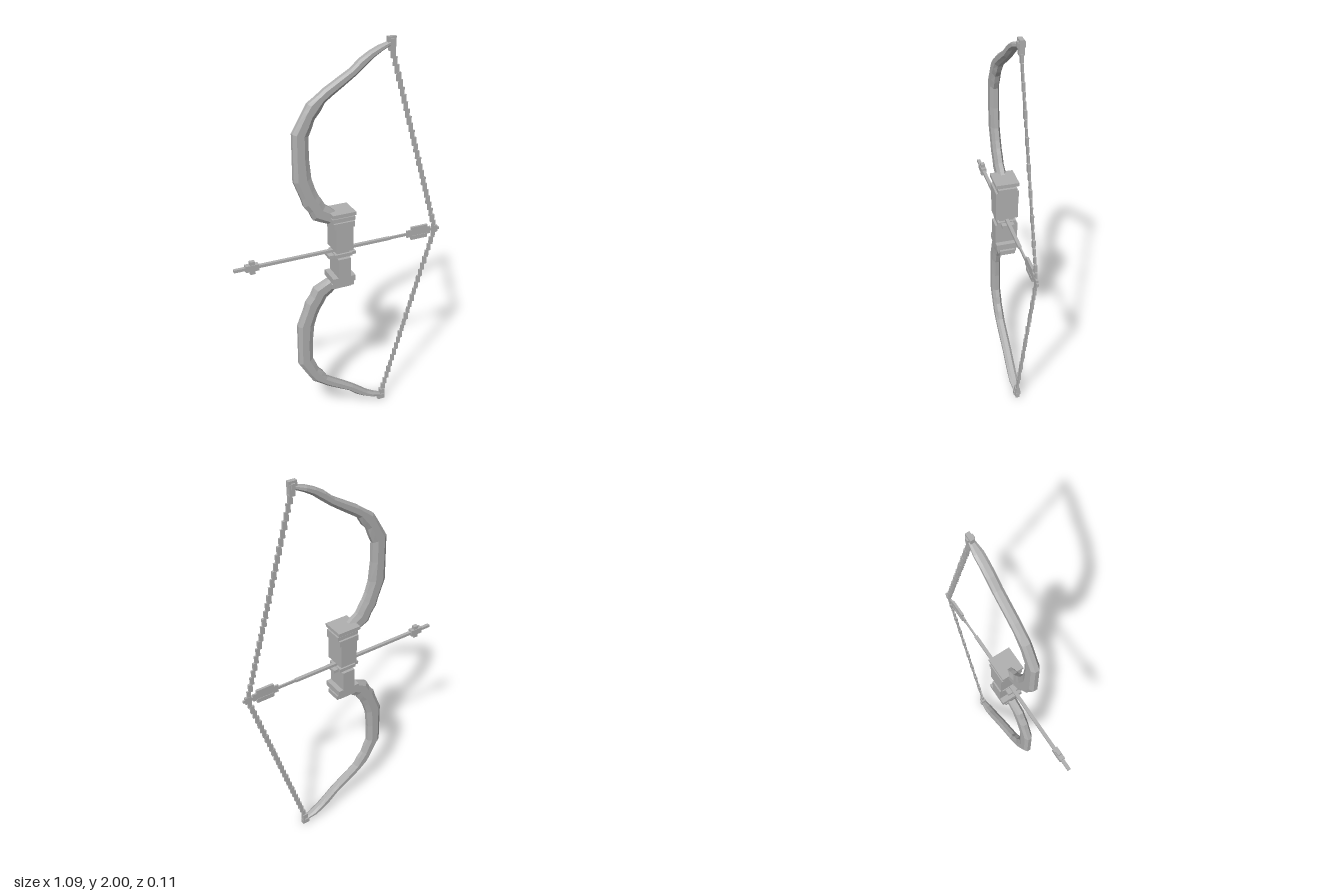
import * as THREE from 'three';

const grey = new THREE.MeshStandardMaterial({ color: 0xb0b0b0 });
grey.name = 'grey';

// Box given by its x and y limits and half depth
function block(group, name, x0, x1, y0, y1, halfZ) {
  const mesh = new THREE.Mesh(new THREE.BoxGeometry(x1 - x0, y1 - y0, halfZ * 2), grey);
  mesh.position.set((x0 + x1) / 2, (y0 + y1) / 2, 0);
  mesh.name = name;
  group.add(mesh);
}

// Limb stations: outer x, y, inner x, y (heights above the arrow line)
const LIMB = [
  [-0.075, 0.152, -0.035, 0.21], [-0.115, 0.17, -0.06, 0.232], [-0.15, 0.187, -0.086, 0.25],
  [-0.167, 0.225, -0.107, 0.287], [-0.193, 0.26, -0.122, 0.31], [-0.205, 0.30, -0.138, 0.345],
  [-0.24, 0.39, -0.155, 0.40], [-0.24, 0.50, -0.165, 0.50], [-0.24, 0.62, -0.165, 0.60],
  [-0.21, 0.672, -0.148, 0.638], [-0.185, 0.715, -0.135, 0.675], [-0.165, 0.748, -0.108, 0.706],
  [-0.125, 0.775, -0.085, 0.745], [-0.085, 0.805, -0.05, 0.77], [-0.02, 0.843, 0.01, 0.81],
  [0.04, 0.878, 0.062, 0.846], [0.085, 0.917, 0.105, 0.88], [0.13, 0.944, 0.15, 0.917],
  [0.175, 0.964, 0.188, 0.94], [0.23, 0.98, 0.235, 0.962],
];
// Bevelled cross-section: position across the limb, z
const SECTION = [[0, -0.01], [0, 0.01], [0.22, 0.022], [0.7, 0.022], [1, 0.01], [1, -0.01], [0.7, -0.022], [0.22, -0.022]];

function limbGeometry(side) {
  const positions = [], index = [], n = SECTION.length;
  LIMB.forEach(([ox, oy, ix, iy], i) => {
    const depth = i === LIMB.length - 1 ? 0.6 : 1;
    for (const [t, z] of SECTION) {
      positions.push(ox + (ix - ox) * t, 1 + side * (oy + (iy - oy) * t), z * depth);
    }
  });
  const tri = (a, b, c) => (side > 0 ? index.push(a, b, c) : index.push(a, c, b));
  for (let i = 0; i < LIMB.length - 1; i++) {
    for (let j = 0; j < n; j++) {
      const a = i * n + j, b = i * n + (j + 1) % n;
      tri(a, b, b + n);
      tri(a, b + n, a + n);
    }
  }
  // End caps
  const last = (LIMB.length - 1) * n;
  for (let j = 1; j < n - 1; j++) {
    tri(0, j + 1, j);
    tri(last, last + j, last + j + 1);
  }
  const indexed = new THREE.BufferGeometry();
  indexed.setAttribute('position', new THREE.Float32BufferAttribute(positions, 3));
  indexed.setIndex(index);
  const flat = indexed.toNonIndexed();
  flat.computeVertexNormals();
  return flat;
}

export function createModel() {
  const model = new THREE.Group();
  model.name = 'bow';

  for (const side of [1, -1]) {
    const label = side > 0 ? 'upper' : 'lower';
    const limb = new THREE.Mesh(limbGeometry(side), grey);
    limb.name = label + 'Limb';
    model.add(limb);

    // Notched limb tip
    const tip = new THREE.Group();
    tip.name = label + 'Tip';
    const mirrored = (x0, x1, a, b, z) =>
      block(tip, 'tipBlock', x0, x1, 1 + Math.min(a * side, b * side), 1 + Math.max(a * side, b * side), z);
    mirrored(0.217, 0.257, 0.972, 1.0, 0.01);
    mirrored(0.228, 0.255, 0.935, 0.985, 0.012);
    mirrored(0.229, 0.247, 0.965, 0.99, 0.017);
    model.add(tip);

    // String as a stair of small upright links
    const string = new THREE.Group();
    string.name = label + 'String';
    const steps = 26, height = 0.93 / steps;
    for (let i = 0; i < steps; i++) {
      const x = 0.243 + (0.513 - 0.243) * (i + 0.5) / steps;
      const y = 1 + side * (0.94 - (i + 0.5) * height);
      block(string, 'stringLink', x - 0.01, x + 0.01, y - height * 0.58, y + height * 0.58, i % 3 ? 0.004 : 0.006);
    }
    model.add(string);
  }

  // Grip: upper block, waist, lower block and collars
  const grip = new THREE.Group();
  grip.name = 'grip';
  block(grip, 'topPlate', -0.07, 0.05, 1.195, 1.212, 0.056);
  block(grip, 'topNeck', -0.053, 0.037, 1.15, 1.2, 0.04);
  block(grip, 'topCollar', -0.066, 0.05, 1.165, 1.185, 0.045);
  block(grip, 'upperRim', -0.062, 0.045, 1.135, 1.165, 0.055);
  block(grip, 'upperBlock', -0.052, 0.037, 1.01, 1.14, 0.055);
  block(grip, 'waist', -0.04, 0.025, 0.96, 1.015, 0.035);
  block(grip, 'arrowRest', -0.08, 0.062, 0.972, 0.988, 0.03);
  block(grip, 'waistCollar', -0.052, 0.037, 0.975, 0.993, 0.045);
  block(grip, 'lowerBlock', -0.04, 0.025, 0.85, 0.97, 0.055);
  block(grip, 'lowerRim', -0.068, 0.05, 0.838, 0.868, 0.055);
  block(grip, 'bottomNeck', -0.053, 0.037, 0.81, 0.845, 0.045);
  block(grip, 'bottomCollar', -0.068, 0.05, 0.805, 0.828, 0.038);
  block(grip, 'bottomPlate', -0.052, 0.04, 0.797, 0.81, 0.03);
  model.add(grip);

  // Arrow
  const arrow = new THREE.Group();
  arrow.name = 'arrow';
  block(arrow, 'shaft', -0.545, 0.26, 0.993, 1.007, 0.008);
  block(arrow, 'rearShaft', 0.26, 0.54, 0.993, 1.007, 0.004);
  block(arrow, 'headCore', -0.49, -0.425, 0.984, 1.016, 0.013);
  block(arrow, 'headBarb', -0.468, -0.443, 0.967, 1.033, 0.01);
  for (const side of [1, -1]) {
    block(arrow, 'feather', 0.38, 0.47, 1 + side * 0.024 - 0.011, 1 + side * 0.024 + 0.011, 0.006);
    block(arrow, 'featherEdge', 0.355, 0.49, 1 + side * 0.012 - 0.007, 1 + side * 0.012 + 0.007, 0.004);
  }
  block(arrow, 'nock', 0.505, 0.53, 0.982, 1.018, 0.006);
  model.add(arrow);

  return model;
}
